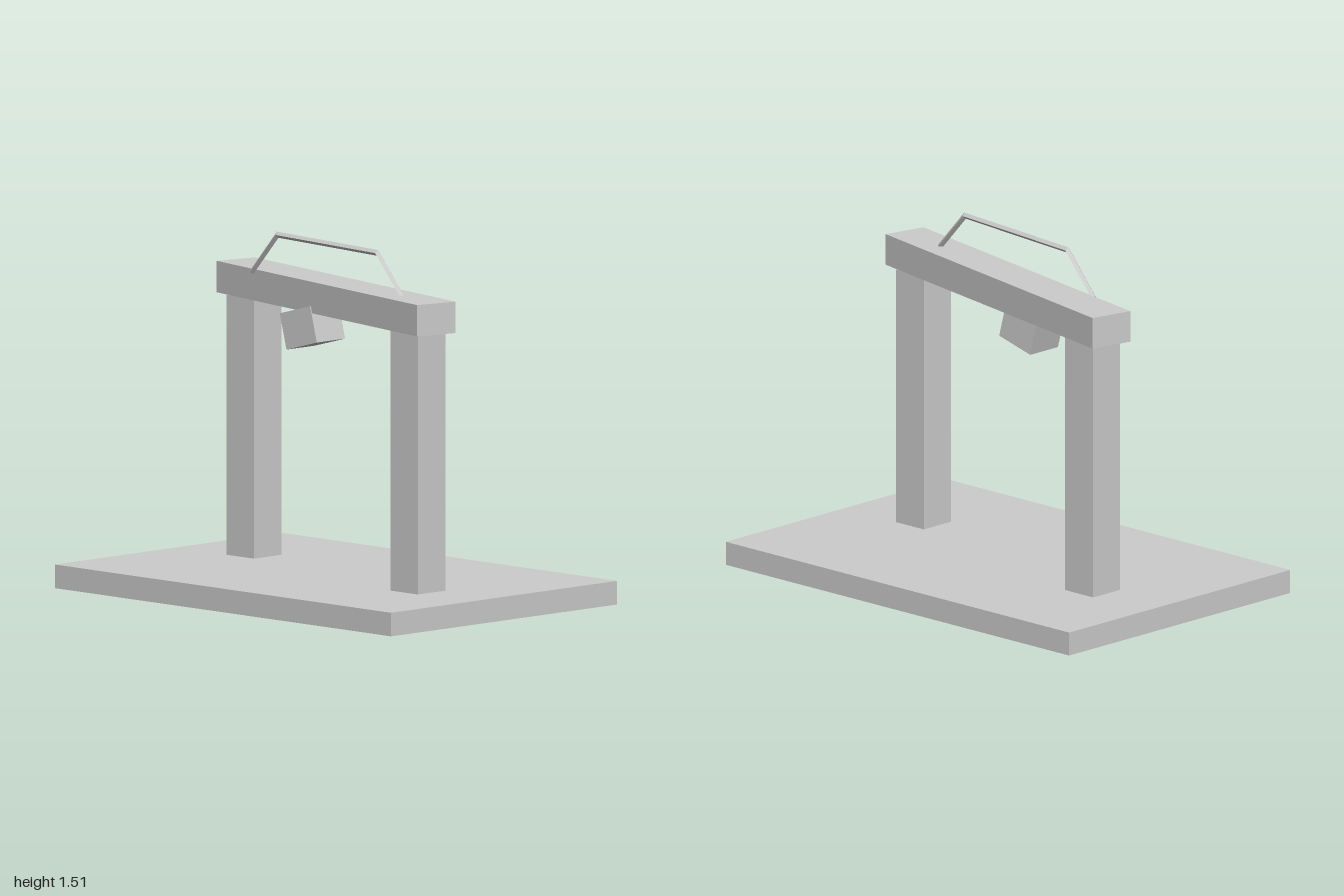
import * as THREE from 'three';

const grey = new THREE.MeshStandardMaterial({ color: 0xcccccc });
grey.name = 'plainGrey';

function box(name, size, position) {
  const mesh = new THREE.Mesh(new THREE.BoxGeometry(...size), grey);
  mesh.name = name;
  mesh.position.set(...position);
  return mesh;
}

// Diamond-section bar following a bent path, with mitred corners and capped ends
function bentBar(points, radius) {
  const chord = points[points.length - 1].clone().sub(points[0]).setY(0).normalize();
  const side = new THREE.Vector3(-chord.z, 0, chord.x);
  const dirs = points.slice(1).map((p, i) => p.clone().sub(points[i]).normalize());
  const rings = points.map((p, i) => {
    const a = dirs[Math.max(i - 1, 0)];
    const b = dirs[Math.min(i, dirs.length - 1)];
    const tangent = a.clone().add(b).normalize();
    const up = side.clone().cross(tangent).normalize();
    const mitre = radius / tangent.dot(a);
    return [
      p.clone().addScaledVector(up, mitre),
      p.clone().addScaledVector(side, radius),
      p.clone().addScaledVector(up, -mitre),
      p.clone().addScaledVector(side, -radius),
    ];
  });
  const out = [];
  const quad = (a, b, c, d) => out.push(a, b, c, a, c, d);
  for (let i = 0; i < rings.length - 1; i++) {
    for (let j = 0; j < 4; j++) {
      const k = (j + 1) % 4;
      quad(rings[i][j], rings[i][k], rings[i + 1][k], rings[i + 1][j]);
    }
  }
  const first = rings[0];
  const last = rings[rings.length - 1];
  quad(first[3], first[2], first[1], first[0]);
  quad(last[0], last[1], last[2], last[3]);
  // Make the winding face outwards
  const centre = points[0].clone().add(points[1]).multiplyScalar(0.5);
  const n = out[1].clone().sub(out[0]).cross(out[2].clone().sub(out[0]));
  const mid = out[0].clone().add(out[1]).add(out[2]).add(out[5]).multiplyScalar(0.25);
  if (n.dot(mid.sub(centre)) < 0) out.reverse();
  const geometry = new THREE.BufferGeometry().setFromPoints(out);
  geometry.computeVertexNormals();
  return geometry;
}

export function createModel() {
  const model = new THREE.Group();
  model.name = 'beamStand';

  // Base slab
  model.add(box('base', [2, 0.1, 1.333], [0, 0.05, 0]));

  // Two upright posts, offset diagonally
  for (const s of [-1, 1]) {
    model.add(box(s < 0 ? 'rightPost' : 'leftPost', [0.163, 1.1, 0.163], [s * 0.617, 0.65, s * 0.128]));
  }

  // Cross beam turned over the posts
  const beam = box('crossBeam', [1.55, 0.133, 0.19], [0, 1.267, 0]);
  beam.rotation.y = -0.209;
  model.add(beam);

  // Tilted block under the beam
  const block = box('hangingBlock', [0.187, 0.155, 0.167], [-0.135, 1.131, 0.005]);
  block.rotation.z = 0.26;
  model.add(block);

  // Thin handle over the beam
  const path = [
    [-0.5, 1.322, 0], [-0.337, 1.497, 0.01], [0.337, 1.497, 0.09], [0.5, 1.322, 0.1],
  ].map((p) => new THREE.Vector3(...p));
  const handle = new THREE.Mesh(bentBar(path, 0.0125), grey);
  handle.name = 'handle';
  model.add(handle);

  return model;
}
